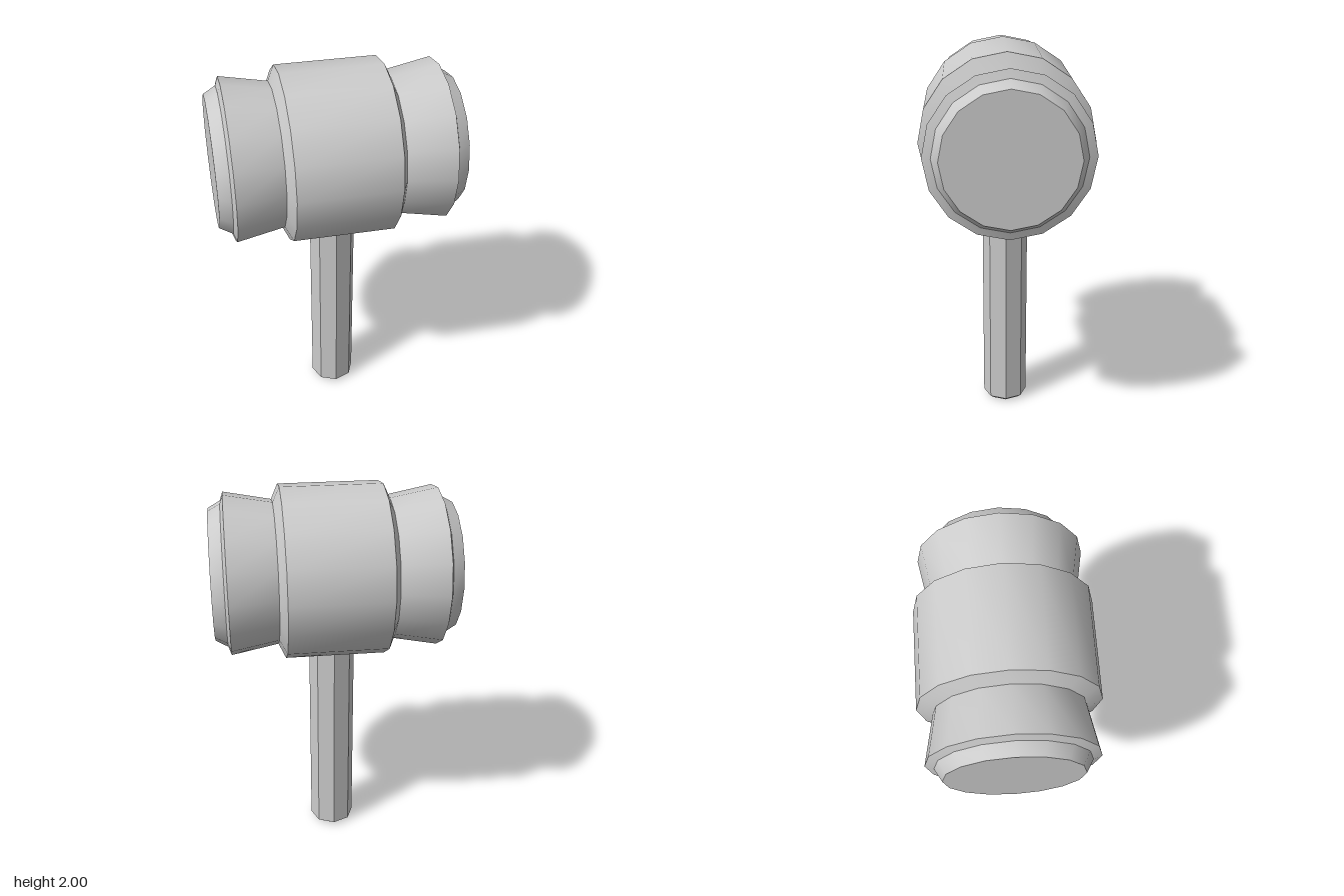
import * as THREE from 'three';
import { toCreasedNormals } from 'three/addons/utils/BufferGeometryUtils.js';

const material = new THREE.MeshStandardMaterial({ color: 0xcccccc });

// Turned part with sharp edges wherever faces bend by more than creaseDeg
function turned(name, profile, sides, creaseDeg) {
  const points = profile.map(([r, y]) => new THREE.Vector2(r, y));
  const geometry = toCreasedNormals(
    new THREE.LatheGeometry(points, sides),
    THREE.MathUtils.degToRad(creaseDeg)
  );
  const mesh = new THREE.Mesh(geometry, material);
  mesh.name = name;
  return mesh;
}

export function createModel() {
  const model = new THREE.Group();
  model.name = 'mallet';

  // Head: half profile [radius, distance from middle], mirrored to both ends
  const half = [[0.44, 0.255], [0.365, 0.29], [0.41, 0.53], [0.367, 0.545], [0.332, 0.607], [0, 0.607]];
  const mirrored = half.map(([r, d]) => [r, -d]).reverse();
  const head = turned('head', [...mirrored, ...half], 16, 24);
  head.rotation.z = Math.PI / 2;
  head.position.y = 1.56;
  model.add(head);

  // Handle: octagonal shaft with a chamfered foot, its top sunk into the head
  const handle = turned('handle', [[0, 0], [0.095, 0], [0.12, 0.02], [0.12, 1.22], [0, 1.22]], 8, 10);
  model.add(handle);

  return model;
}
